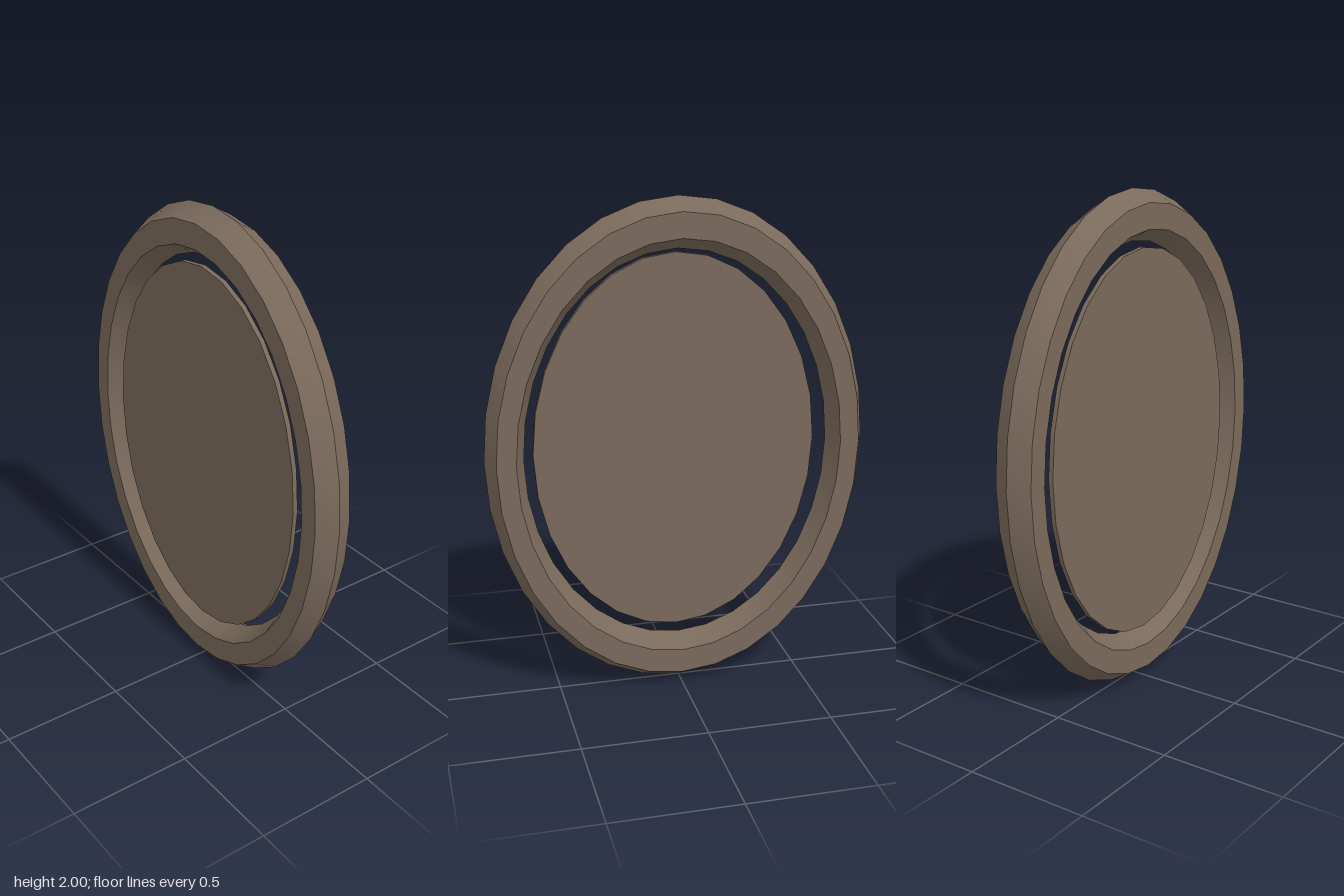
import * as THREE from 'three';
import { toCreasedNormals } from 'three/addons/utils/BufferGeometryUtils.js';

const ASPECT = 0.77; // oval width relative to height

export function createModel() {
  const group = new THREE.Group();
  group.name = 'ovalFrame';

  const brown = new THREE.MeshStandardMaterial({ color: 0x7a6a5b });
  brown.name = 'dull brown';

  // adds a part squeezed into an oval, with crisp edges and smooth curves
  const addOval = (name, geometry, depthScale, z) => {
    geometry.scale(ASPECT, 1, depthScale);
    const mesh = new THREE.Mesh(toCreasedNormals(geometry, 0.6), brown);
    mesh.name = name;
    mesh.position.set(0, 1, z);
    group.add(mesh);
  };

  // oval rim with a hexagonal section
  addOval('rim', new THREE.TorusGeometry(0.9, 0.1, 6, 32), 0.94, 0);

  // thin inner plate, set slightly towards the front
  const plate = new THREE.CylinderGeometry(0.78, 0.78, 0.02, 28);
  plate.rotateX(Math.PI / 2);
  plate.scale(0.575 / (0.78 * ASPECT), 1, 1);
  addOval('plate', plate, 1, 0.045);

  return group;
}
